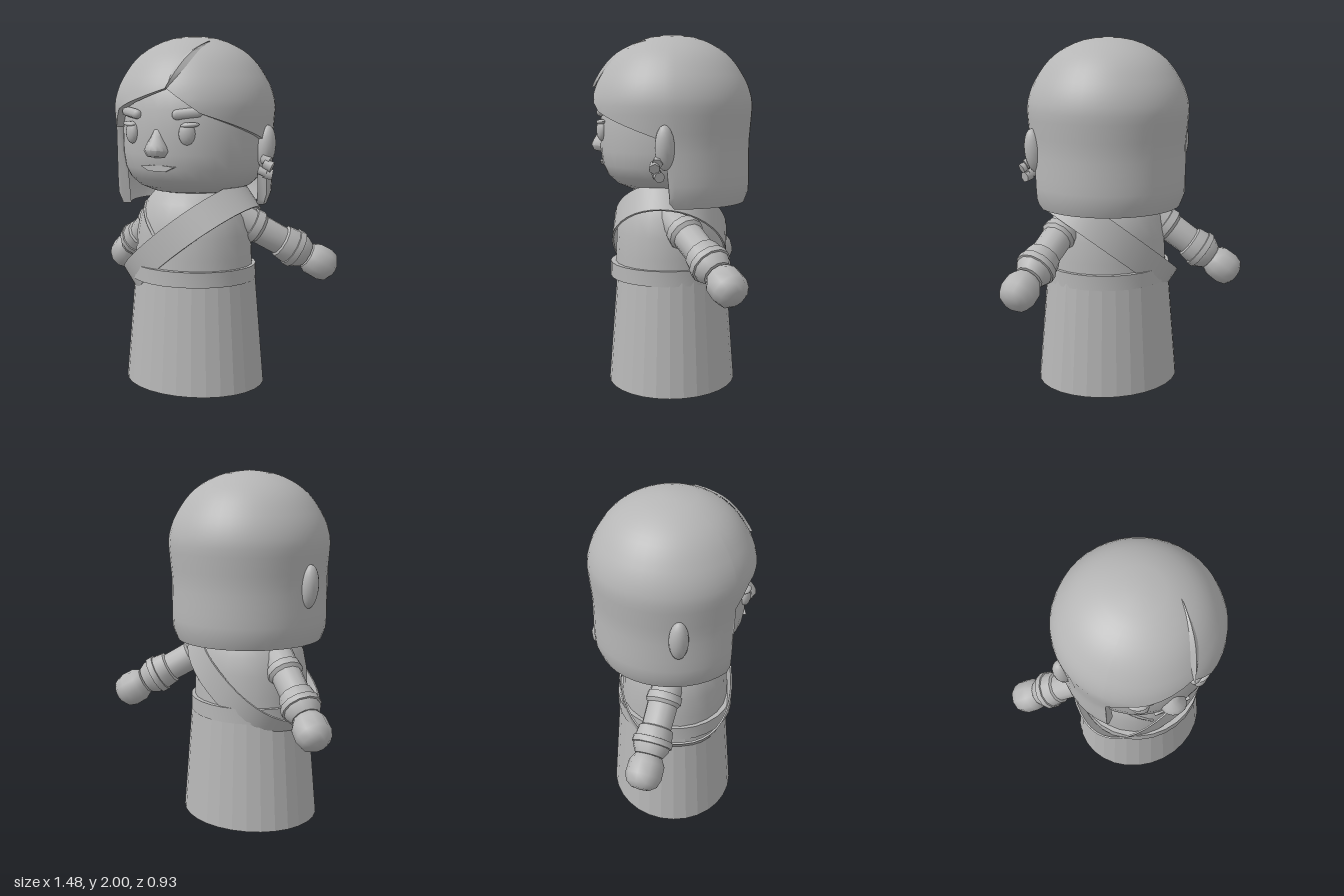
import * as THREE from 'three';
import { toCreasedNormals } from 'three/addons/utils/BufferGeometryUtils.js';

const V = (x, y, z) => new THREE.Vector3(x, y, z);
const clay = new THREE.MeshStandardMaterial({ color: 0xb6b6b6 });
clay.name = 'clayGrey';

// Piecewise linear lookup in [[key, value], ...] with rising keys
function lookup(table, k) {
  let i = 1;
  while (i < table.length - 1 && k > table[i][0]) i++;
  const [k0, v0] = table[i - 1], [k1, v1] = table[i];
  return THREE.MathUtils.lerp(v0, v1, THREE.MathUtils.clamp((k - k0) / (k1 - k0), 0, 1));
}

// Surface through rows of points; rows run left to right, points run downwards
function loft(rows, crease) {
  const n = rows[0].length, idx = [], pts = rows.flat();
  const tri = (a, b, c) => { // collapsed corners make no face
    if (pts[a].distanceTo(pts[b]) > 1e-5 && pts[b].distanceTo(pts[c]) > 1e-5 && pts[c].distanceTo(pts[a]) > 1e-5) idx.push(a, b, c);
  };
  for (let i = 0; i < rows.length - 1; i++) {
    for (let j = 0; j < n - 1; j++) {
      const a = i * n + j, b = a + n;
      tri(a, a + 1, b);
      tri(b, a + 1, b + 1);
    }
  }
  const g = new THREE.BufferGeometry().setFromPoints(pts);
  g.setIndex(idx);
  return toCreasedNormals(g, crease);
}

// Turned part from [radius, height] pairs, listed upwards
function turned(profile, sides = 24, crease = 0.6) {
  const g = new THREE.LatheGeometry(profile.map(p => new THREE.Vector2(p[0], p[1])), sides);
  return toCreasedNormals(g, crease);
}

// Outer radius of the hair by height
const hairRadius = y => lookup([[1.07, 0.412], [1.12, 0.435], [1.2, 0.44], [1.4, 0.437], [1.55, 0.45], [1.63, 0.455],
  [1.72, 0.43], [1.79, 0.392], [1.85, 0.35], [1.89, 0.312], [1.93, 0.257], [1.96, 0.2], [1.98, 0.145], [1.993, 0.08], [2, 0]], y);

function hairGeometry() {
  // Lower edge by angle, from the parting round the back to the long side lock
  const edge = [[0.17, 1.71], [0.59, 1.58], [1.0, 1.52], [1.46, 1.45], [1.6, 1.42], [1.66, 1.1],
    [1.72, 1.07], [5.41, 1.07], [5.43, 1.5], [5.66, 1.6], [6.453, 1.71]];
  const angles = [edge[0][0]];
  for (let i = 1; i < edge.length; i++) {
    const [a0] = edge[i - 1], [a1] = edge[i], steps = Math.ceil((a1 - a0) / 0.15);
    for (let s = 1; s <= steps; s++) angles.push(a0 + (a1 - a0) * s / steps);
  }
  const N = 24;
  const rows = angles.map(a => {
    const e = lookup(edge, a), outer = [], inner = [];
    for (let j = 0; j <= N; j++) {
      const y = Math.max(e, 2 - 0.93 * (j / N) ** 1.6), r = hairRadius(y), q = Math.max(0, r - 0.045);
      outer.push(V(r * Math.sin(a), y, r * Math.cos(a)));
      inner.unshift(V(q * Math.sin(a), Math.min(y, 1.955), q * Math.cos(a)));
    }
    return [...outer, ...inner];
  });
  rows[rows.length - 1] = rows[0];
  return loft(rows, 0.7);
}

// Raised leaf shaped fold running up from the parting
function foldGeometry() {
  const rows = [-1, 0, 1].map(side => {
    const row = [];
    for (let j = 0; j <= 12; j++) {
      const t = j / 12, y = 1.96 - 0.25 * t, r = hairRadius(y) + (side === 0 ? 0.018 : 0.001);
      const x = 0.165 - 0.085 * t + side * 0.027 * Math.sin(Math.PI * t);
      row.push(V(x, y, Math.sqrt(Math.max(0, r * r - x * x))));
    }
    return row;
  });
  return loft(rows, 0.3);
}

// Sash: a rectangular ring pulled into an oval, squarer at the hip than at the shoulder
function sashGeometry() {
  const g = new THREE.LatheGeometry([[0.97, -0.08], [1, -0.08], [1, 0.08], [0.97, 0.08], [0.97, -0.08]]
    .map(p => new THREE.Vector2(...p)), 40);
  const p = g.attributes.position;
  for (let i = 0; i < p.count; i++) {
    const power = p.getX(i) < 0 ? 0.86 : 1, pull = v => Math.sign(v) * Math.abs(v) ** power;
    p.setXYZ(i, 0.445 * pull(p.getX(i)), p.getY(i), 0.325 * pull(p.getZ(i)));
  }
  return toCreasedNormals(g, 0.5);
}

export function createModel() {
  const model = new THREE.Group();
  const add = (name, geo, pos = [0, 0, 0], scale = [1, 1, 1], rot = [0, 0, 0], parent = model) => {
    const m = new THREE.Mesh(geo, clay);
    m.name = name;
    m.position.set(...pos);
    m.scale.set(...scale);
    m.rotation.set(...rot);
    parent.add(m);
  };
  const ball = new THREE.SphereGeometry(1, 16, 12);

  // Clothing
  add('skirt', turned([[0, 0.58], [0.33, 0.58], [0.39, 0.03], [0.413, 0.03], [0.358, 0.66]], 30, 0.1),
    [0.008, 0, -0.005], [1, 1, 0.88]);
  add('belt', turned([[0.32, 0.64], [0.363, 0.64], [0.363, 0.725], [0.32, 0.725]], 28),
    [0.008, 0, 0.01], [1, 1, 0.93]);
  add('torso', turned([[0.345, 0.68], [0.342, 0.78], [0.335, 0.9], [0.315, 1.0], [0.275, 1.08],
    [0.225, 1.14], [0.14, 1.185], [0, 1.195]]), [0.008, 0, 0.008], [1, 1, 0.9]);
  add('sash', sashGeometry(), [0, 0.857, 0.007], [1, 1, 1], [0, 0, 0.66]);
  const collar = new THREE.CatmullRomCurve3([V(-0.235, 1.07, 0.13), V(-0.2, 1.03, 0.2),
    V(-0.14, 0.97, 0.262), V(-0.06, 0.89, 0.302)]);
  add('collarEdge', new THREE.TubeGeometry(collar, 12, 0.01, 6));

  // Arms, turned from shoulder to wrist and then aimed at the hand
  const armParts = {
    upperArm: [[0, -0.06], [0.07, -0.03], [0.088, 0.02], [0.082, 0.4], [0, 0.4]],
    sleeveHem: [[0.07, 0.15], [0.096, 0.155], [0.1, 0.2], [0.084, 0.22], [0.07, 0.22]],
    forearm: [[0.07, 0.345], [0.096, 0.36], [0.105, 0.43], [0.1, 0.48], [0.078, 0.52], [0, 0.53]],
    wristBand: [[0.09, 0.42], [0.112, 0.425], [0.112, 0.46], [0.09, 0.465]],
  };
  const handProfile = [[0, -0.1], [0.075, -0.09], [0.098, -0.05], [0.1, 0.02], [0.085, 0.065], [0.05, 0.09], [0, 0.097]];
  for (const [name, shoulder, hand] of [
    ['leftArm', V(0.21, 1.03, -0.01), V(0.638, 0.713, -0.363)],
    ['rightArm', V(-0.2, 1.03, -0.03), V(-0.63, 0.68, -0.225)]]) {
    const arm = new THREE.Group(), dir = hand.clone().sub(shoulder), len = dir.length();
    arm.name = name;
    arm.position.copy(shoulder);
    arm.quaternion.setFromUnitVectors(V(0, 1, 0), dir.normalize());
    for (const part in armParts) add(part, turned(armParts[part], 12, 0.7), [0, 0, 0], [1, len / 0.62, 1], [0, 0, 0], arm);
    add('hand', turned(handProfile, 10, 0.8), [0, len - 0.002, 0], [1, 1, 1], [0, 0, 0], arm);
    model.add(arm);
  }

  // Legs and shoes, hidden up inside the skirt
  for (const [side, x] of [['left', 0.165], ['right', -0.145]]) {
    add(side + 'Shoe', turned([[0, 0], [0.098, 0], [0.106, 0.02], [0.104, 0.07], [0.085, 0.12], [0, 0.16]], 16),
      [x, 0, 0.05], [1, 1, 1.65]);
    add(side + 'Leg', new THREE.CylinderGeometry(0.085, 0.09, 0.54, 12), [x, 0.34, 0]);
  }

  // Head and hair
  add('head', turned([[0, 1.125], [0.15, 1.128], [0.24, 1.145], [0.31, 1.175], [0.36, 1.22], [0.39, 1.28],
    [0.403, 1.36], [0.406, 1.48], [0.4, 1.6], [0.375, 1.7], [0.3, 1.8], [0, 1.88]], 32, 0.8),
    [0.01, 0, -0.005], [1.02, 1, 1]);
  add('hair', hairGeometry(), [0.008, 0, -0.006]);
  add('hairFold', foldGeometry(), [0.008, 0, -0.006]);

  // Face
  add('nose', turned([[0, 0], [0.05, 0.005], [0.07, 0.035], [0.06, 0.065], [0.035, 0.11], [0.02, 0.15], [0, 0.16]], 12, 1),
    [0.008, 1.345, 0.4], [1, 1, 0.95], [-0.12, 0, 0]);
  const mouth = new THREE.Shape([[-0.1, 0.012], [-0.05, -0.014], [0.055, -0.014], [0.11, 0.012], [0.04, 0.018], [-0.03, 0.018]]
    .map(p => new THREE.Vector2(...p)));
  add('mouth', new THREE.ExtrudeGeometry(mouth, { depth: 0.04, bevelEnabled: false }), [0.004, 1.287, 0.352]);
  for (const s of [1, -1]) {
    const side = s > 0 ? 'left' : 'right';
    add(side + 'Eye', ball, [s * 0.172 + 0.004, 1.475, 0.365], [0.044, 0.06, 0.03], [0, s * 0.42, 0]);
    add(side + 'Lash', ball, [s * 0.19 + 0.004, 1.52, 0.365], [0.05, 0.014, 0.025], [0, s * 0.45, s * 0.08]);
    add(side + 'Brow', new THREE.CapsuleGeometry(0.027, 0.11, 4, 8), [s * 0.175, 1.58, 0.358],
      [1, 1, 0.9], [0, s * 0.45, Math.PI / 2 + s * 0.12]);
    add(side + 'Ear', ball, [s * 0.44 + 0.008, 1.395, -0.02], [0.052, 0.12, 0.052], [0, 0, -s * 0.1]);
  }

  // Stud cluster below the left ear
  [[0.465, 1.325, 0.015], [0.485, 1.3, 0.03], [0.45, 1.265, 0.025], [0.475, 1.25, 0.01]].forEach((p, i) =>
    add('earring' + (i + 1), new THREE.CylinderGeometry(0.025, 0.03, 0.05, 6), p, [1, 1, 1], [0.4 * i, 0, 1.1]));

  return model;
}
